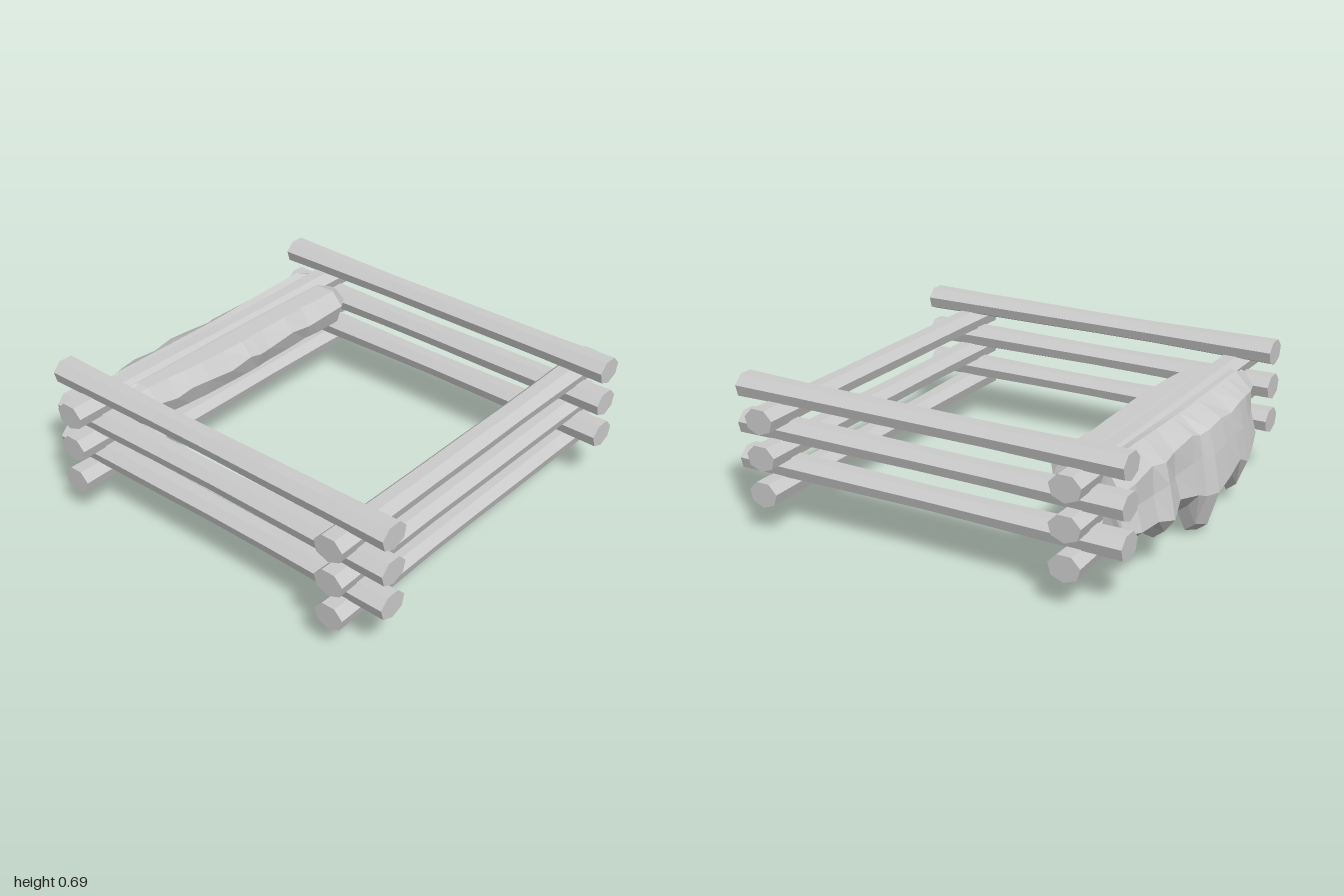
import * as THREE from 'three';

const material = new THREE.MeshStandardMaterial({ color: 0xcccccc, flatShading: true });

// Seven-sided log along z, slightly pinched towards the middle
function makeLog(name, start, end, seed) {
  const length = end - start;
  const geo = new THREE.CylinderGeometry(0.077, 0.077, length, 7, 6);
  const p = geo.attributes.position;
  for (let i = 0; i < p.count; i++) {
    const t = p.getY(i) / (length / 2);
    const pinch = 1 - 0.13 * (1 - t * t) + 0.03 * Math.sin(t * 5 + seed) * (1 - t * t);
    p.setX(i, p.getX(i) * pinch);
    p.setZ(i, p.getZ(i) * pinch * 0.82);
  }
  geo.rotateX(Math.PI / 2);
  geo.translate(0, 0.003, (start + end) / 2);
  geo.computeVertexNormals();
  const mesh = new THREE.Mesh(geo, material);
  mesh.name = name;
  return mesh;
}

// Ragged overgrowth lying over the back logs and hanging down outside
function makeOvergrowth() {
  // x, outer z, inner z, lowest y of the hanging edge
  const stations = [
    [-0.74, -0.88, -0.60, 0.28], [-0.62, -0.94, -0.545, 0.2], [-0.5, -0.97, -0.54, 0.15],
    [-0.41, -0.985, -0.53, 0.05], [-0.3, -0.99, -0.52, 0.17], [-0.16, -1, -0.515, 0.14],
    [-0.03, -1, -0.51, 0], [0.04, -0.97, -0.51, 0.02], [0.11, -0.96, -0.515, 0.14],
    [0.28, -0.945, -0.515, 0.2], [0.41, -0.98, -0.52, 0.14], [0.5, -0.945, -0.51, 0.2],
    [0.65, -0.94, -0.51, 0.19], [0.74, -0.9, -0.57, 0.28],
  ];
  const last = stations.length - 1;
  const positions = [];
  const index = [];
  let n = 0;
  stations.forEach(([x, back, inner, low], i) => {
    const atEnd = i === 0 || i === last;
    const wob = (k) => 0.012 * Math.sin(i * 2.3 + k * 1.9);
    const rise = 0.035 * Math.max(0, x);
    const drop = atEnd ? 0.04 : 0;
    // Cross-section as z, y: up the inside, over the top, down the outside
    const ring = [
      [-0.63, 0.36 + drop], [inner - 0.03, 0.41 + drop], [inner, 0.5 + wob(0)],
      [inner - 0.06, 0.575 - drop], [-0.67, 0.575 - drop], [-0.74, 0.57],
      [-0.82, 0.575 + rise - drop], [back * 0.6 - 0.34, 0.5 + wob(1) - drop],
      [back + 0.03, 0.39 + wob(2)], [back, 0.2 + low * 0.35 + wob(3)],
      [back + 0.05, low + 0.04], [back + 0.1, low],
      [-0.83, Math.max(0.2, low + 0.03)], [-0.80, 0.37], [-0.71, 0.40],
    ];
    n = ring.length;
    ring.forEach(([z, y]) => positions.push(x, y, z));
  });
  for (let i = 0; i < last; i++) {
    for (let j = 0; j < n; j++) {
      const k = (j + 1) % n;
      const a = i * n + j, b = a + n, c = i * n + k, d = c + n;
      index.push(a, b, c, b, d, c);
    }
  }
  // Closed ends
  const centre = positions.length / 3;
  positions.push(-0.75, 0.46, -0.81, 0.75, 0.46, -0.81);
  for (let j = 0; j < n; j++) {
    const k = (j + 1) % n;
    index.push(centre, j, k, centre + 1, last * n + k, last * n + j);
  }
  const geo = new THREE.BufferGeometry();
  geo.setAttribute('position', new THREE.Float32BufferAttribute(positions, 3));
  geo.setIndex(index);
  geo.computeVertexNormals();
  const mesh = new THREE.Mesh(geo, material);
  mesh.name = 'overgrowth';
  return mesh;
}

export function createModel() {
  const model = new THREE.Group();
  model.name = 'logFrame';

  // Three stacked courses, each a front/back pair below a left/right pair
  for (let i = 0; i < 3; i++) {
    const y = 0.19 + i * 0.175;

    const front = makeLog('frontLog', -0.955, 0.98, i);
    front.rotation.y = Math.PI / 2;
    front.position.set(0, y, 0.775);

    const back = makeLog('backLog', -0.985, 0.95, i + 2);
    back.rotation.y = Math.PI / 2;
    back.position.set(0, y, -0.735);

    const right = makeLog('rightLog', -0.945, 0.995, i + 4);
    right.position.set(-0.81, y + 0.09, 0);

    const left = makeLog('leftLog', -0.955, 0.98, i + 5);
    left.position.set(0.805, y + 0.09, 0);

    model.add(front, back, right, left);
  }

  model.add(makeOvergrowth());
  return model;
}
